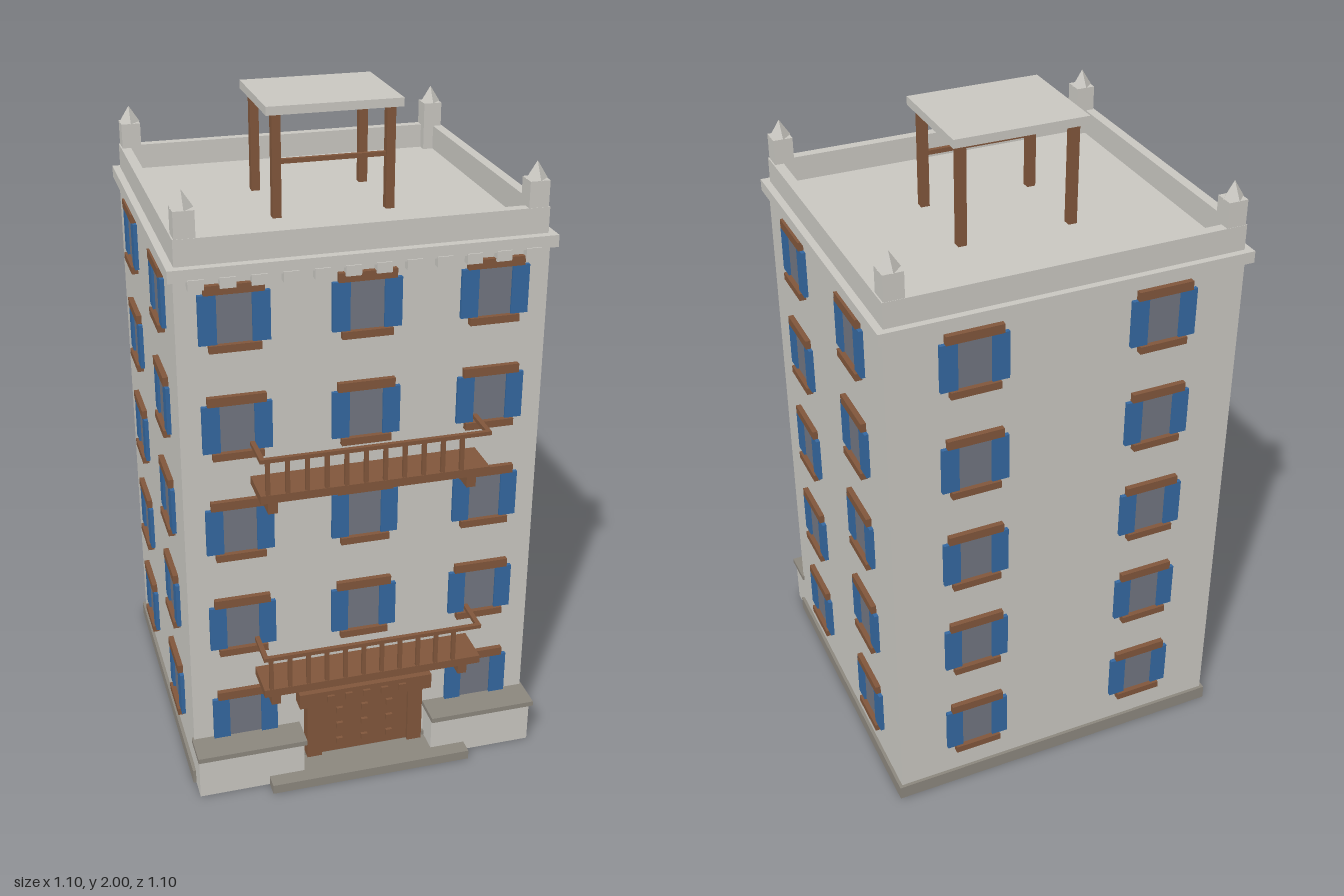
import * as THREE from 'three';

const mat = (name, color) => {
  const m = new THREE.MeshStandardMaterial({ color });
  m.name = name;
  return m;
};

export function createModel() {
  const root = new THREE.Group();
  root.name = 'apartmentBuilding';
  const stone = mat('paleStone', 0xc8c6c0);
  const base = mat('darkStone', 0x8b867d);
  const wood = mat('brownWood', 0x80563b);
  const blue = mat('blueShutter', 0x34679f);
  const glass = mat('greyGlass', 0x70747f);

  // Box given by its min and max on each axis
  const box = (parent, name, m, x0, x1, y0, y1, z0, z1) => {
    const mesh = new THREE.Mesh(new THREE.BoxGeometry(x1 - x0, y1 - y0, z1 - z0), m);
    mesh.position.set((x0 + x1) / 2, (y0 + y1) / 2, (z0 + z1) / 2);
    mesh.name = name;
    parent.add(mesh);
    return mesh;
  };
  const group = (name, parent = root) => {
    const g = new THREE.Group();
    g.name = name;
    parent.add(g);
    return g;
  };

  // Tower, plinth, front step
  const F = 0.425, B = -0.53, W = 0.53;
  box(root, 'plinth', base, -0.54, 0.54, 0, 0.045, -0.54, 0.435);
  box(root, 'frontStep', base, -0.315, 0.315, 0, 0.03, 0.43, 0.55);
  box(root, 'tower', stone, -W, W, 0.045, 1.645, B, F);

  // Cornice with dentils along the front
  box(root, 'cornice', stone, -0.547, 0.547, 1.64, 1.675, -0.55, 0.445);
  for (let i = 0; i < 12; i++) {
    const x = (i - 5.5) * 0.086;
    box(root, 'dentil', stone, x - 0.022, x + 0.022, 1.615, 1.645, F - 0.01, 0.449);
  }

  // Parapet and corner pinnacles
  const parapet = group('parapet');
  box(parapet, 'parapetFront', stone, -0.525, 0.525, 1.67, 1.75, 0.39, 0.42);
  box(parapet, 'parapetBack', stone, -0.525, 0.525, 1.67, 1.75, -0.53, -0.5);
  for (const s of [-1, 1]) {
    const x = s * 0.51;
    box(parapet, 'parapetSide', stone, x - 0.015, x + 0.015, 1.67, 1.75, -0.5, 0.39);
    for (const z of [-0.5, 0.39]) {
      const px = s * 0.492;
      box(parapet, 'pinnacle', stone, px - 0.029, px + 0.029, 1.67, 1.825, z - 0.029, z + 0.029);
      const cap = new THREE.Mesh(new THREE.ConeGeometry(0.032, 0.05, 4), stone);
      cap.geometry = cap.geometry.toNonIndexed();
      cap.geometry.computeVertexNormals();
      cap.position.set(px, 1.85, z);
      cap.name = 'pinnacleCap';
      parapet.add(cap);
    }
  }

  // Rooftop canopy on four legs
  const canopy = group('roofCanopy');
  box(canopy, 'canopySlab', stone, -0.2, 0.2, 1.975, 2, -0.22, 0.112);
  for (const x of [-0.168, 0.168])
    for (const z of [-0.187, 0.084])
      box(canopy, 'canopyLeg', wood, x - 0.013, x + 0.013, 1.67, 1.977, z - 0.013, z + 0.013);
  box(canopy, 'canopyRail', wood, -0.168, 0.168, 1.83, 1.843, 0.077, 0.09);

  // Window built against z = 0, facing +z; y is the top of its lintel
  const addWindow = (wall, x, top) => {
    const g = group('window', wall);
    g.position.set(x, top, 0);
    box(g, 'pane', glass, -0.06, 0.06, -0.17, -0.025, -0.005, 0.005);
    for (const s of [-1, 1]) {
      const c = s * 0.074;
      box(g, 'shutter', blue, c - 0.025, c + 0.025, -0.17, -0.027, -0.005, 0.012);
    }
    box(g, 'lintel', wood, -0.083, 0.083, -0.027, 0, -0.005, 0.016);
    box(g, 'sill', wood, -0.073, 0.073, -0.192, -0.17, -0.005, 0.02);
  };
  const walls = [
    ['frontWindows', [0, 0, F], 0, [-0.37, 0, 0.37]],
    ['backWindows', [0, 0, B], Math.PI, [-0.28, 0.28]],
    ['leftWindows', [W, 0, 0], Math.PI / 2, [-0.187, 0.288]],
    ['rightWindows', [-W, 0, 0], -Math.PI / 2, [-0.288, 0.187]],
  ];
  for (const [name, pos, turn, xs] of walls) {
    const g = group(name);
    g.position.set(...pos);
    g.rotation.y = turn;
    for (let row = 0; row < 5; row++)
      for (const x of xs)
        if (!(row === 0 && name === 'frontWindows' && x === 0)) addWindow(g, x, 0.322 + row * 0.325);
  }

  // Balconies: deck, brackets, balusters, rails
  for (const y of [0.362, 1.012]) {
    const g = group('balcony');
    box(g, 'deck', wood, -0.335, 0.335, y, y + 0.025, F - 0.01, 0.55);
    for (const x of [-0.295, 0.29])
      box(g, 'bracket', wood, x - 0.014, x + 0.014, y - 0.048, y, F - 0.01, 0.525);
    box(g, 'frontRail', wood, -0.335, 0.335, y + 0.125, y + 0.137, 0.537, 0.55);
    for (const s of [-1, 1])
      box(g, 'sideRail', wood, s * 0.328 - 0.007, s * 0.328 + 0.007, y + 0.125, y + 0.137, F, 0.54);
    for (let i = 0; i < 11; i++) {
      const x = -0.313 + i * 0.0563;
      box(g, 'baluster', wood, x - 0.006, x + 0.006, y + 0.02, y + 0.13, 0.538, 0.549);
    }
  }

  // Studded door with frame and lintel
  const door = group('door');
  for (const s of [-1, 1])
    box(door, 'doorJamb', wood, s * 0.162 - 0.023, s * 0.162 + 0.023, 0.045, 0.245, F - 0.01, 0.465);
  box(door, 'doorPanel', wood, -0.14, 0.14, 0.045, 0.245, F - 0.01, 0.452);
  box(door, 'doorLintel', wood, -0.21, 0.21, 0.24, 0.29, F - 0.01, 0.475);
  for (const x of [-0.08, 0, 0.08])
    for (const y of [0.085, 0.143, 0.2])
      box(door, 'doorStud', wood, x - 0.01, x + 0.01, y - 0.01, y + 0.01, 0.45, 0.462);
  for (let i = -2; i <= 2; i++)
    box(door, 'lintelStud', wood, i * 0.057 - 0.011, i * 0.057 + 0.011, 0.254, 0.276, 0.47, 0.483);

  // Low walls either side of the door
  for (const s of [-1, 1]) {
    const g = group('lowWall');
    const wx = s * 0.368;
    box(g, 'lowWallBody', stone, wx - 0.163, wx + 0.163, 0, 0.142, F - 0.01, 0.503);
    box(g, 'lowWallCap', base, wx - 0.168, wx + 0.168, 0.14, 0.156, F - 0.01, 0.523);
  }
  return root;
}
